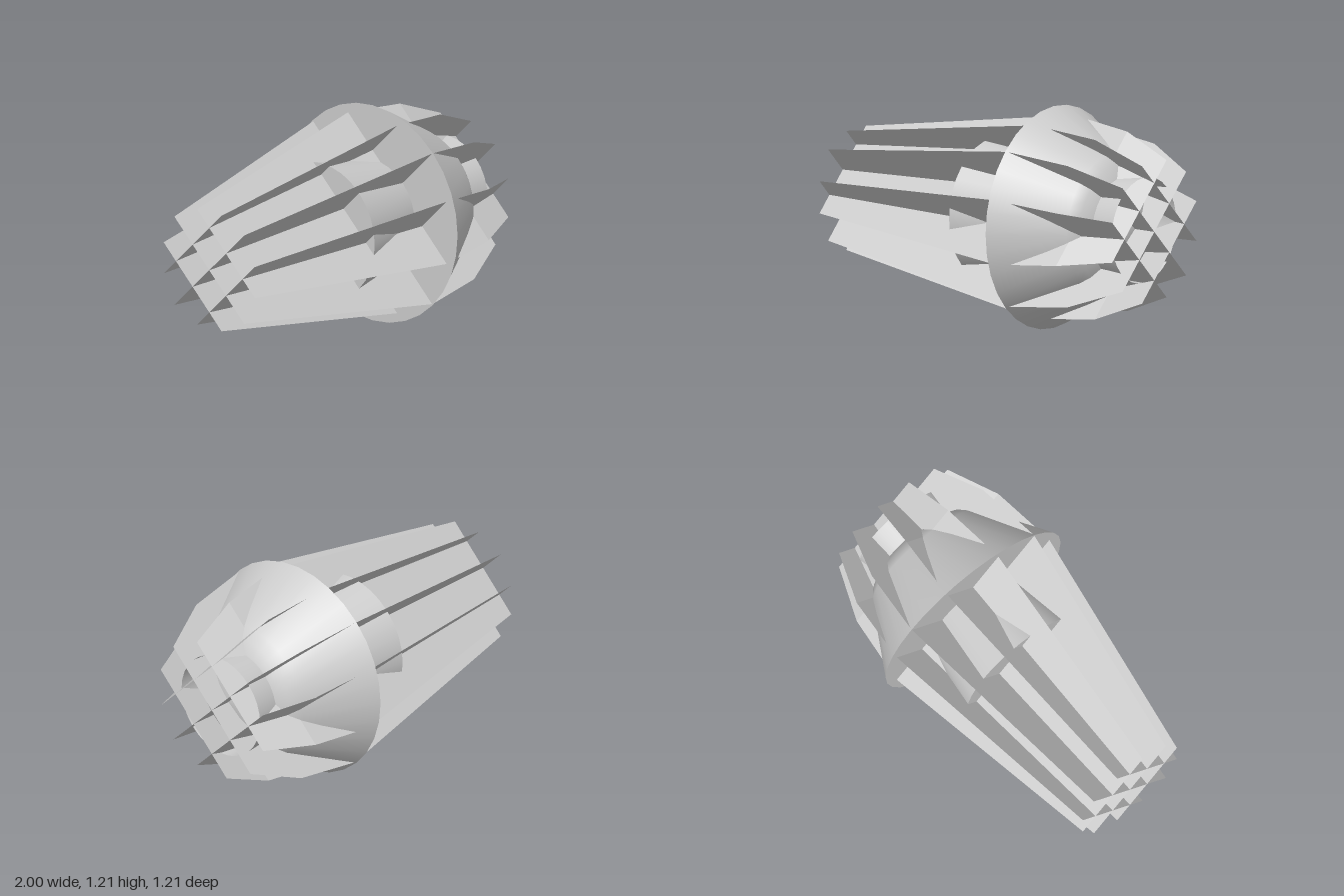
import * as THREE from 'three';

const material = new THREE.MeshStandardMaterial({ color: 0xcccccc, side: THREE.DoubleSide });
const flatMaterial = new THREE.MeshStandardMaterial({ color: 0xcccccc, side: THREE.DoubleSide, flatShading: true });

// Stations along the hull axis: [x, half width]
const STATIONS = [[-1, 0.292, 0.168], [0.33, 0.498, 0.25], [0.71, 0.448, 0.245], [1, 0.342, 0.188]];
const CENTRE_WIDTHS = [0.352, 0.6, 0.545, 0.4];

// A thin panel lofted along x; side is -1, 0 or 1 for its offset from the axis
function panel(side) {
  const positions = [];
  const index = [];
  STATIONS.forEach(([x, width, offset], i) => {
    const w = side === 0 ? CENTRE_WIDTHS[i] : width;
    positions.push(x, -w, side * offset, x, w, side * offset);
    if (i > 0) {
      const a = 2 * (i - 1);
      index.push(a, a + 2, a + 1, a + 1, a + 2, a + 3);
    }
  });
  const geometry = new THREE.BufferGeometry();
  geometry.setAttribute('position', new THREE.Float32BufferAttribute(positions, 3));
  geometry.setIndex(index);
  geometry.computeVertexNormals();
  return new THREE.Mesh(geometry, flatMaterial);
}

// A surface turned around the x axis from [radius, x] points
function turned(name, points) {
  const profile = points.map(([r, x]) => new THREE.Vector2(r, x));
  const mesh = new THREE.Mesh(new THREE.LatheGeometry(profile, 32), material);
  mesh.rotation.z = -Math.PI / 2;
  mesh.name = name;
  return mesh;
}

export function createModel() {
  const model = new THREE.Group();
  const hull = new THREE.Group();
  hull.name = 'hull';
  hull.position.y = 0.606;
  model.add(hull);

  // Two crossing sets of three long panels
  for (const turn of [1, -1]) {
    const set = new THREE.Group();
    set.name = 'finSet';
    set.rotation.x = turn * Math.PI / 4;
    for (const side of [-1, 0, 1]) {
      const fin = panel(side);
      fin.name = side === 0 ? 'centreFin' : 'outerFin';
      set.add(fin);
    }
    hull.add(set);
  }

  // Wide cone with its rounded nose, and the flat disc behind it
  hull.add(turned('cone', [[0.606, 0.325], [0.387, 0.705], [0.34, 0.755], [0.28, 0.788]]));
  hull.add(turned('nose', [[0.28, 0.788], [0.2, 0.83], [0.11, 0.86], [0, 0.87]]));
  hull.add(turned('coneBase', [[0, 0.325], [0.606, 0.325]]));

  // Collar around the nose
  hull.add(turned('collar', [[0.276, 0.785], [0.288, 0.93]]));

  // Flared tail section with its end plate
  hull.add(turned('tail', [[0.38, -0.09], [0.302, 0.325]]));
  hull.add(turned('tailPlate', [[0, -0.09], [0.38, -0.09]]));

  return model;
}
